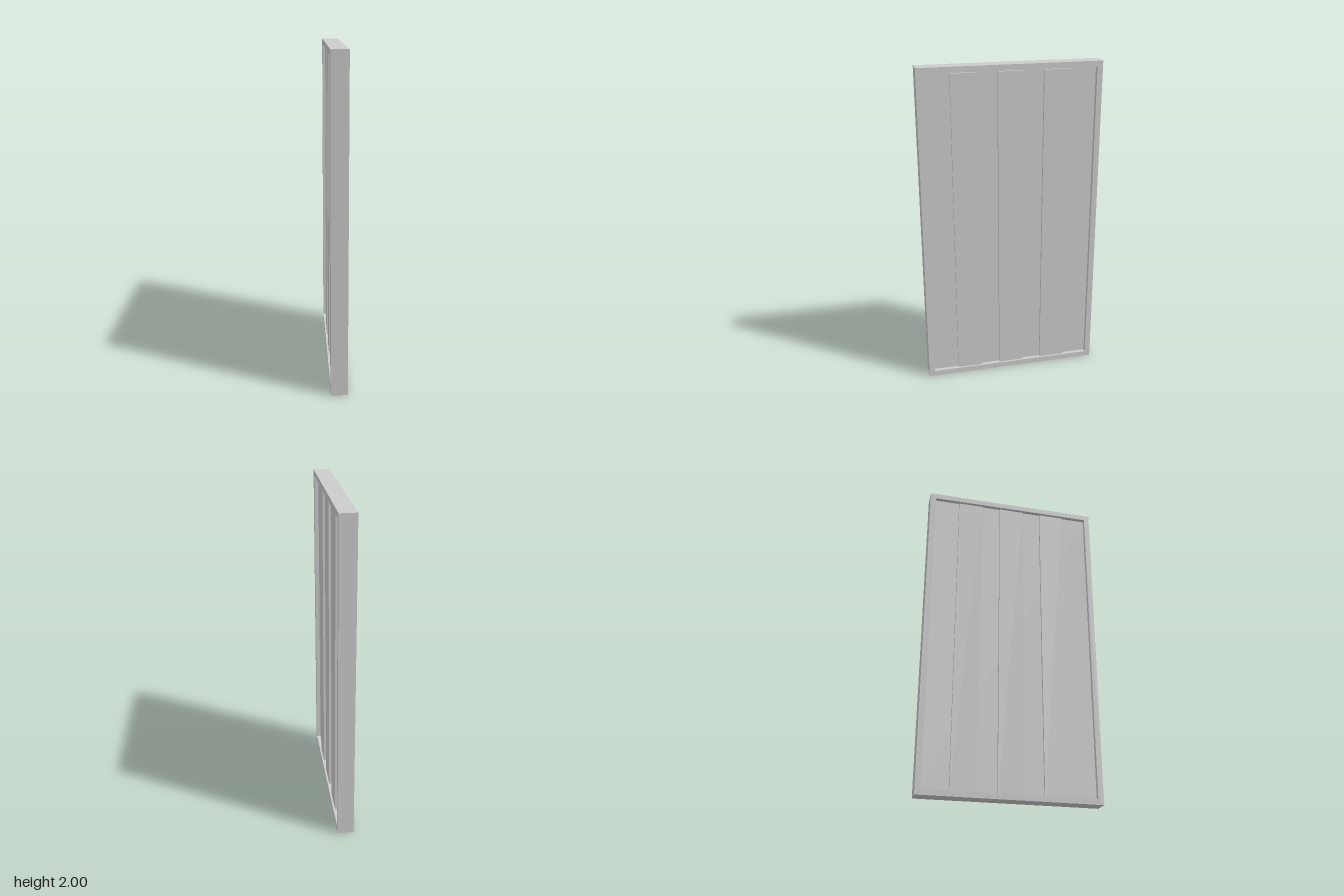
import * as THREE from 'three';

const WIDTH = 1.1, HEIGHT = 2, DEPTH = 0.1, RIM = 0.034;

export function createModel() {
  const model = new THREE.Group();
  model.name = 'framedPanel';
  const material = new THREE.MeshStandardMaterial({ color: 0xcccccc, flatShading: true });

  const add = (name, geometry, x, y, z) => {
    const mesh = new THREE.Mesh(geometry, material);
    mesh.name = name;
    mesh.position.set(x, y, z);
    model.add(mesh);
    return mesh;
  };

  // Outer frame: a rectangle with a slightly rounded opening
  const w = WIDTH / 2, a = w - RIM, b = RIM, t = HEIGHT - RIM, r = 0.008;
  const outline = new THREE.Shape();
  outline.moveTo(-w, 0).lineTo(w, 0).lineTo(w, HEIGHT).lineTo(-w, HEIGHT).closePath();
  const opening = new THREE.Path();
  opening.moveTo(-a + r, b);
  opening.lineTo(a - r, b).quadraticCurveTo(a, b, a, b + r);
  opening.lineTo(a, t - r).quadraticCurveTo(a, t, a - r, t);
  opening.lineTo(-a + r, t).quadraticCurveTo(-a, t, -a, t - r);
  opening.lineTo(-a, b + r).quadraticCurveTo(-a, b, -a + r, b);
  outline.holes.push(opening);
  const frame = new THREE.ExtrudeGeometry(outline, { depth: DEPTH, bevelEnabled: false, curveSegments: 3 });
  frame.translate(0, 0, -DEPTH / 2).rotateY(Math.PI / 2);
  add('frame', frame, 0, 0, 0);

  // Recessed sheet filling the opening, its edges hidden inside the frame
  add('backSheet', new THREE.BoxGeometry(0.048, HEIGHT - RIM, WIDTH - RIM), 0, HEIGHT / 2, 0);

  // Three raised boards showing on both faces, stopping just short of the top rail
  const top = t - 0.006, bottom = b - 0.01;
  for (const z of [-0.277, 0, 0.277]) {
    add('raisedBoard', new THREE.BoxGeometry(0.077, top - bottom, 0.158), 0, (top + bottom) / 2, z);
  }
  return model;
}
